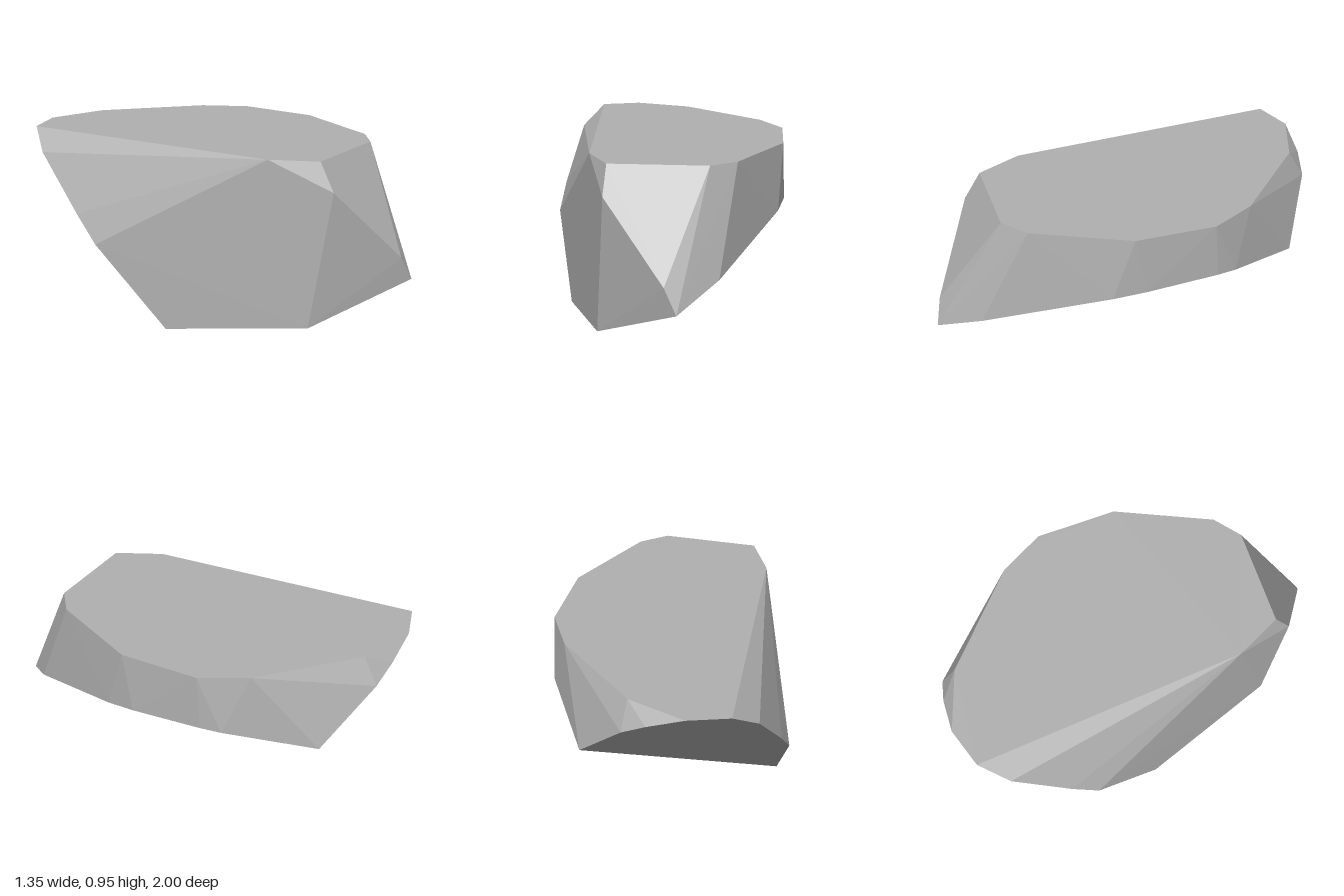
import * as THREE from 'three';
import { ConvexGeometry } from 'three/addons/geometries/ConvexGeometry.js';

const TOP = 0.955;
// Flat cuts that shape the stone
const undersideY = (x, z) => 0.542 * x - 0.164 * z + 0.274;
const backZ = (x, y) => -0.534 * x - 1.014 * y - 0.212;

export function createModel() {
  const stoneGrey = new THREE.MeshStandardMaterial({ color: 0xb0b0b0 });
  stoneGrey.name = 'stoneGrey';
  const points = [];
  const add = (x, y, z) => points.push(new THREE.Vector3(x, y, z));

  // Rim of the level top (x, z)
  [[-0.065, 0.73], [0.43, 0.645], [0.54, 0.52], [0.673, 0.01], [0.595, -0.4],
    [0.54, -0.47], [0.43, -0.605], [-0.07, -0.92], [-0.22, 0.52]]
    .forEach(([x, z]) => add(x, TOP, z));

  // Rim of the sloping underside (x, z)
  [[-0.49, 0.05], [-0.125, 0.72], [0.357, 1], [0.51, 0.77], [0.673, 0.12],
    [0.673, -0.05], [0.594, -0.42], [0.55, -0.52], [0.225, -0.88]]
    .forEach(([x, z]) => add(x, undersideY(x, z), z));

  // Rim of the slanted back cut (x, y)
  [[-0.67, 0.43], [-0.675, 0.57], [-0.66, 0.85], [-0.58, TOP], [-0.39, TOP],
    [-0.2, 0.884], [-0.07, 0.815]]
    .forEach(([x, y]) => add(x, y, backZ(x, y)));

  // Front ridge
  add(-0.06, 0.81, 0.815);
  add(0.29, 0.43, 0.98);

  const stone = new THREE.Mesh(new ConvexGeometry(points), stoneGrey);
  stone.name = 'stone';
  const group = new THREE.Group();
  group.name = 'cutStone';
  group.add(stone);
  return group;
}
